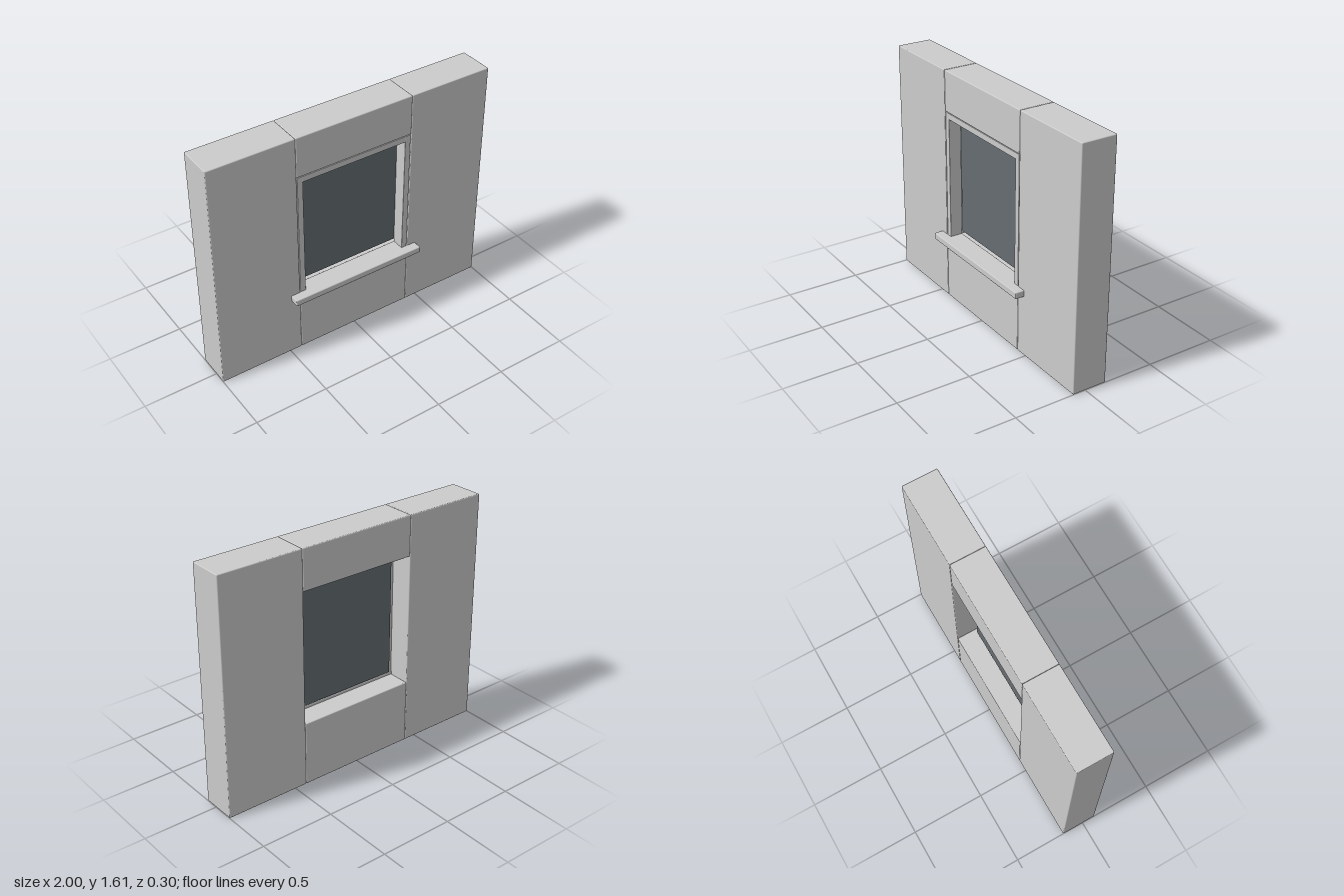
import * as THREE from 'three';
import { RoundedBoxGeometry } from 'three/addons/geometries/RoundedBoxGeometry.js';

const grey = new THREE.MeshStandardMaterial({ color: 0xcccccc });
const glass = new THREE.MeshStandardMaterial({ color: 0x656c70 });

export function createModel() {
  const group = new THREE.Group();

  // Block with softly rounded edges, given by its extents on each axis
  function block(name, [x0, x1], [y0, y1], [z0, z1], radius = 0.006, material = grey) {
    const size = [x1 - x0, y1 - y0, z1 - z0];
    const geometry = radius > 0
      ? new RoundedBoxGeometry(...size, 2, radius)
      : new THREE.BoxGeometry(...size);
    const mesh = new THREE.Mesh(geometry, material);
    mesh.name = name;
    mesh.position.set((x0 + x1) / 2, (y0 + y1) / 2, (z0 + z1) / 2);
    group.add(mesh);
  }

  const wallDepth = [-0.15, 0.09];
  const frameDepth = [0, 0.088];

  // Wall panels around the opening
  block('leftWallPanel', [0.416, 1], [0, 1.61], wallDepth);
  block('rightWallPanel', [-1, -0.416], [0, 1.61], wallDepth);
  block('lintelPanel', [-0.415, 0.415], [1.335, 1.61], wallDepth);
  block('lowerPanel', [-0.415, 0.415], [0, 0.44], wallDepth);

  // Window frame, open at the bottom
  block('leftJamb', [0.372, 0.412], [0.44, 1.332], frameDepth, 0.003);
  block('rightJamb', [-0.412, -0.372], [0.44, 1.332], frameDepth, 0.003);
  block('frameHead', [-0.375, 0.375], [1.29, 1.332], frameDepth, 0.003);

  // Pane behind the frame, leaving a narrow slot above the sill
  block('windowPane', [-0.375, 0.375], [0.478, 1.295], [-0.022, -0.002], 0, glass);

  // Projecting sill
  block('sill', [-0.48, 0.48], [0.415, 0.46], [0, 0.15]);

  return group;
}
